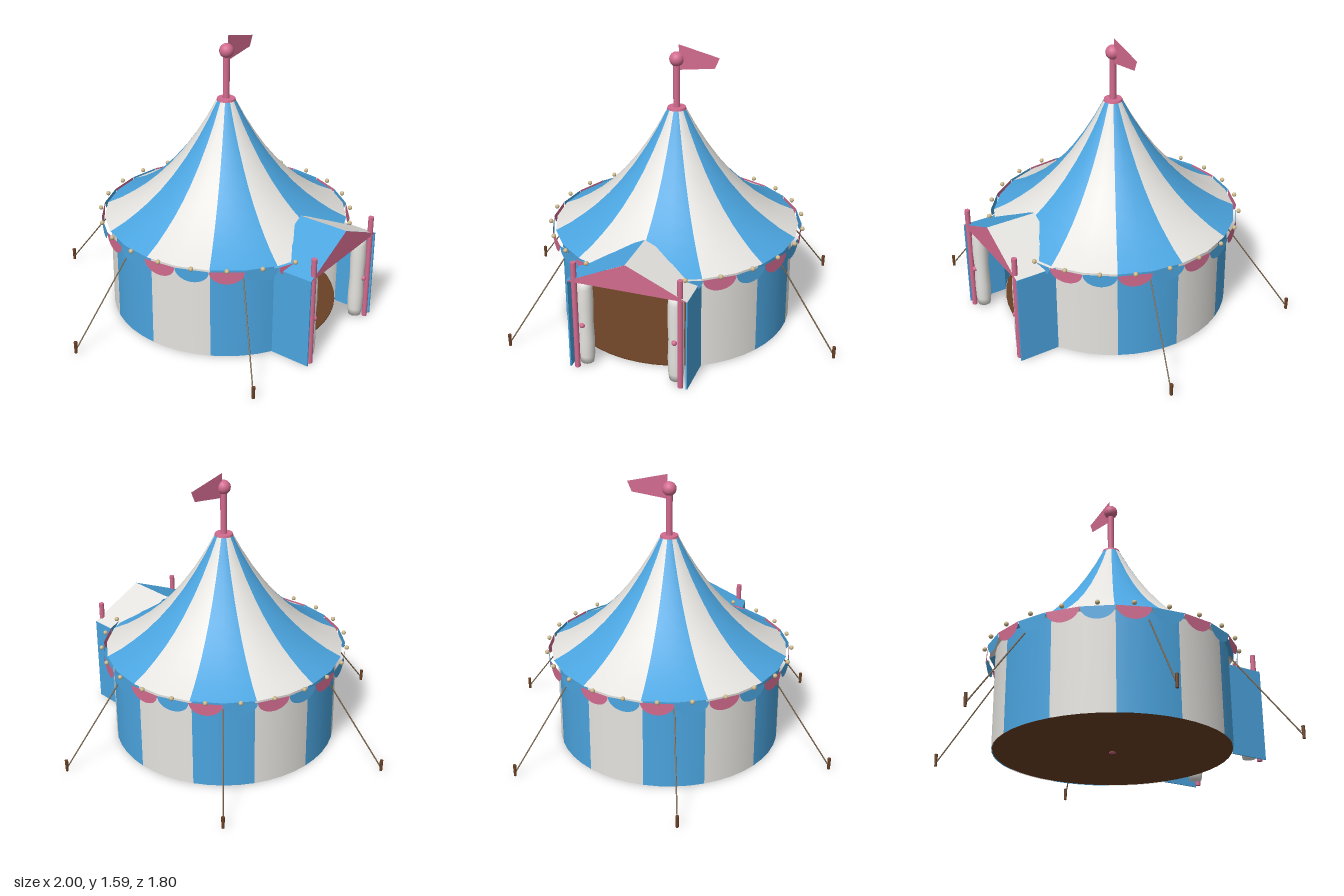
import * as THREE from 'three';

const material = (name, color, side = THREE.DoubleSide) => {
  const m = new THREE.MeshStandardMaterial({ color, side });
  m.name = name;
  return m;
};

export function createModel() {
  const blue = material('blue canvas', 0x4ba5e0);
  const white = material('white canvas', 0xe4e3df);
  const pink = material('pink trim', 0xd26b8f);
  const brown = material('brown wood', 0x6b4226);
  const rope = material('rope', 0x77634a);
  const cream = material('cream bulb', 0xcdb98c);

  const model = new THREE.Group();
  model.name = 'circusTent';
  const tent = new THREE.Group();
  tent.name = 'roundTent';
  tent.position.z = 0.1;
  model.add(tent);

  const add = (parent, name, geometry, mat, x = 0, y = 0, z = 0) => {
    const mesh = new THREE.Mesh(geometry, mat);
    mesh.name = name;
    mesh.position.set(x, y, z);
    parent.add(mesh);
    return mesh;
  };
  // Point on a circle, angle measured from the front towards +x
  const polar = (r, y, a) => new THREE.Vector3(r * Math.sin(a), y, r * Math.cos(a));

  // Striped roof and walls; the two front wall sectors stay open as the doorway
  const profile = [[0.69, 0.552], [0.604, 0.594], [0.53, 0.641], [0.459, 0.692], [0.385, 0.757],
    [0.314, 0.831], [0.24, 0.922], [0.169, 1.024], [0.105, 1.13], [0.05, 1.235]]
    .map(([r, y]) => new THREE.Vector2(r, y));
  const sector = Math.PI / 6;
  for (let k = 0; k < 12; k++) {
    const mat = k % 2 ? white : blue;
    add(tent, 'roofStripe', new THREE.LatheGeometry(profile, 2, k * sector, sector), mat);
    if (k > 0 && k < 11) {
      add(tent, 'wallStripe',
        new THREE.CylinderGeometry(0.655, 0.655, 0.55, 4, 1, true, k * sector, sector), mat, 0, 0.275);
    }
  }
  add(tent, 'floor', new THREE.CylinderGeometry(0.65, 0.65, 0.008, 48), brown, 0, 0.006);

  // Scalloped valance with a bulb above each scallop
  const scallop = new THREE.Shape();
  scallop.absellipse(0, 0, 0.092, 0.072, Math.PI, Math.PI * 2, false);
  const scallopGeometry = new THREE.ShapeGeometry(scallop, 10);
  const bulbGeometry = new THREE.SphereGeometry(0.013, 10, 8);
  for (let k = 0; k < 24; k++) {
    const a = (k + 0.5) * Math.PI / 12;
    const flap = add(tent, 'scallop', scallopGeometry, k % 2 ? blue : pink);
    flap.position.copy(polar(0.702, 0.552, a));
    flap.rotation.y = a;
    add(tent, 'bulb', bulbGeometry, cream).position.copy(polar(0.715, 0.565, a));
  }

  // Centre pole, roof cap, ball and flag
  add(tent, 'centrePole', new THREE.CylinderGeometry(0.019, 0.019, 1.5, 16), pink, 0, 0.75);
  add(tent, 'roofCap', new THREE.CylinderGeometry(0.05, 0.053, 0.012, 24), pink, 0, 1.235);
  add(tent, 'poleBall', new THREE.SphereGeometry(0.04, 20, 14), pink, 0, 1.51);
  const flag = new THREE.Shape([[0.012, 1.45], [0.215, 1.478], [0.24, 1.538], [0.012, 1.592]]
    .map(([x, y]) => new THREE.Vector2(x, y)));
  add(tent, 'flag', new THREE.ShapeGeometry(flag), pink);

  // Guy ropes and stakes
  const up = new THREE.Vector3(0, 1, 0);
  for (const degrees of [75, 135, 195, 255, 315]) {
    const a = THREE.MathUtils.degToRad(degrees);
    const top = polar(0.66, 0.5, a);
    const foot = polar(1.02, 0.025, a);
    const line = add(tent, 'guyRope',
      new THREE.CylinderGeometry(0.004, 0.004, top.distanceTo(foot), 6), rope);
    line.position.copy(top).add(foot).multiplyScalar(0.5);
    line.quaternion.setFromUnitVectors(up, top.clone().sub(foot).normalize());
    add(tent, 'stake', new THREE.CylinderGeometry(0.01, 0.008, 0.07, 8), brown)
      .position.copy(polar(1.025, 0.035, a));
  }

  // Entrance porch: gable board, then sides mirrored left and right
  const porch = new THREE.Group();
  porch.name = 'porch';
  model.add(porch);
  const gable = new THREE.Shape([[-0.33, 0.522], [0.33, 0.522], [0, 0.675]]
    .map(([x, y]) => new THREE.Vector2(x, y)));
  add(porch, 'gable', new THREE.ShapeGeometry(gable), pink, 0, 0, 0.895);

  const curtainProfile = [[0, 0.015], [0.036, 0.018], [0.042, 0.06], [0.044, 0.15], [0.04, 0.26],
    [0.044, 0.37], [0.042, 0.47], [0.036, 0.515], [0, 0.52]].map(([r, y]) => new THREE.Vector2(r, y));
  const curtainGeometry = new THREE.LatheGeometry(curtainProfile, 16);
  const slope = Math.atan2(0.153, 0.33);
  for (const s of [-1, 1]) {
    add(porch, 'porchWall', new THREE.BoxGeometry(0.008, 0.522, 0.228), blue, s * 0.327, 0.261, 0.781);
    const slab = add(porch, 'porchRoof', new THREE.PlaneGeometry(Math.hypot(0.33, 0.153), 0.285),
      s < 0 ? blue : white, s * 0.165, 0.5995, 0.7535);
    slab.geometry.rotateX(-Math.PI / 2);
    slab.rotation.z = -s * slope;
    add(porch, 'porchPost', new THREE.CylinderGeometry(0.015, 0.015, 0.635, 12), pink, s * 0.29, 0.3175, 0.884);
    add(porch, 'curtain', curtainGeometry, white, s * 0.252, 0, 0.84);
    add(porch, 'curtainTie', new THREE.SphereGeometry(0.015, 12, 8), pink, s * 0.256, 0.26, 0.88);
  }
  return model;
}
